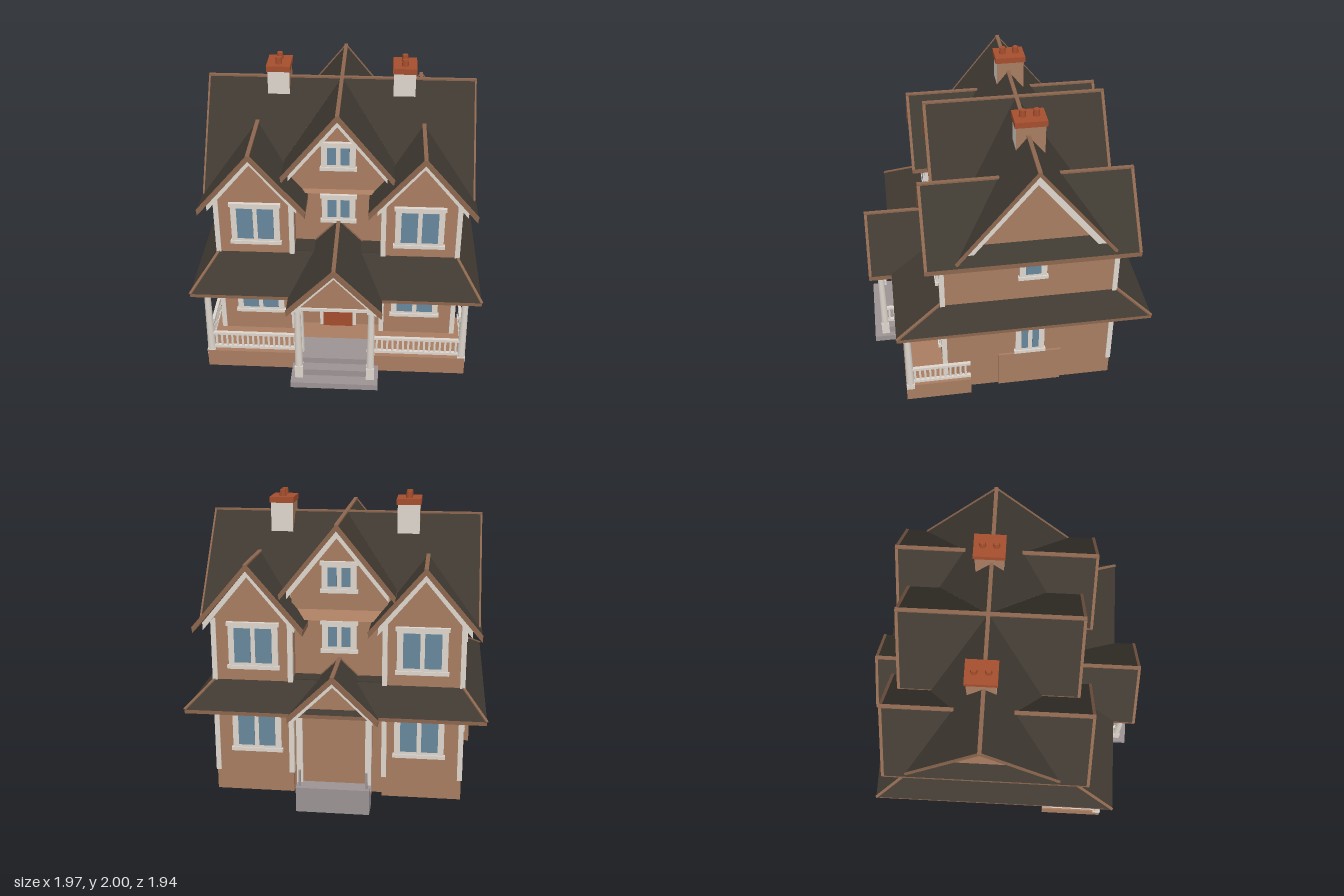
import * as THREE from 'three';

const mat = (name, color) => {
  const m = new THREE.MeshStandardMaterial({ color });
  m.name = name;
  return m;
};
const V = (x, y, z) => new THREE.Vector3(x, y, z);

export function createModel() {
  const wall = mat('wall brown', 0xa97d61);
  const roof = mat('roof charcoal', 0x3f3931);
  const fascia = mat('fascia brown', 0x8c664e);
  const trim = mat('trim white', 0xded6cd);
  const glass = mat('window blue', 0x66879c);
  const rust = mat('brick red', 0xa54e2d);
  const stone = mat('step grey', 0x9c9394);

  const house = new THREE.Group();
  house.name = 'house';

  const add = (name, geo, m, parent = house) => {
    const mesh = new THREE.Mesh(geo, m);
    mesh.name = name;
    parent.add(mesh);
    return mesh;
  };
  // Box given by its limits on each axis
  const box = (name, m, x0, x1, y0, y1, z0, z1, parent) => {
    const mesh = add(name, new THREE.BoxGeometry(Math.abs(x1 - x0), y1 - y0, Math.abs(z1 - z0)), m, parent);
    mesh.position.set((x0 + x1) / 2, (y0 + y1) / 2, (z0 + z1) / 2);
  };
  // Outline in x,y extruded from z0 to z1
  const prism = (name, m, pts, z0, z1, parent) => {
    const shape = new THREE.Shape(pts.map(p => new THREE.Vector2(...p)));
    const geo = new THREE.ExtrudeGeometry(shape, { depth: z1 - z0, bevelEnabled: false });
    add(name, geo.translate(0, 0, z0), m, parent);
  };
  // Bar between two points
  const beam = (name, m, a, b, w, h) => {
    const mesh = add(name, new THREE.BoxGeometry(w, h, a.distanceTo(b)), m);
    mesh.position.copy(a).add(b).multiplyScalar(0.5);
    mesh.lookAt(b);
  };
  // Sloped roof panel, fanned from its first corner: dark on top, brown edges and underside
  const panel = (name, pts, t = 0.035) => {
    const n = V(0, 0, 0).crossVectors(pts[1].clone().sub(pts[0]), pts[2].clone().sub(pts[0]));
    const p = n.y < 0 ? [pts[0], ...pts.slice(1).reverse()] : pts;
    const low = p.map(q => V(q.x, q.y - t, q.z));
    const out = [];
    for (let i = 1; i < p.length - 1; i++) out.push(p[0], p[i], p[i + 1]);
    const topCount = out.length;
    for (let i = 1; i < p.length - 1; i++) out.push(low[0], low[i + 1], low[i]);
    p.forEach((a, i) => {
      const j = (i + 1) % p.length;
      out.push(low[i], low[j], p[j], low[i], p[j], a);
    });
    const geo = new THREE.BufferGeometry().setFromPoints(out);
    geo.addGroup(0, topCount, 0);
    geo.addGroup(topCount, out.length - topCount, 1);
    geo.computeVertexNormals();
    add(name, geo, [roof, fascia]);
  };
  // Gable roof with its ridge along z, edged in brown
  const gable = (name, cx, ridge, eave, half, z0, z1) => {
    for (const s of [-1, 1]) {
      panel(name, [V(cx, ridge, z0), V(cx, ridge, z1), V(cx + s * half, eave, z1), V(cx + s * half, eave, z0)]);
      for (const z of [z0 + 0.01, z1 - 0.01])
        beam(name + 'Edge', fascia, V(cx, ridge, z), V(cx + s * half, eave, z), 0.02, 0.012);
    }
    beam(name + 'Ridge', fascia, V(cx, ridge, z0), V(cx, ridge, z1), 0.026, 0.012);
  };
  // White boards following a gable, below the roof edge
  const rake = (name, cx, ridge, eave, half, w, z0, z1, parent) => prism(name, trim, [
    [cx - half, eave - w], [cx, ridge - w], [cx + half, eave - w],
    [cx + half, eave], [cx, ridge], [cx - half, eave]], z0, z1, parent);

  // Wings, front to back, with their roofs and corner boards
  for (const s of [-1, 1]) {
    const c = s * 0.565;
    prism('wingWalls', wall, [[c - 0.265, 0], [c + 0.265, 0], [c + 0.265, 1.25], [c, 1.56], [c - 0.265, 1.25]], -0.68, 0.5);
    gable('wingRoof', c + s * 0.005, 1.6, 1.18, 0.36, -0.8, 0.6);
    rake('wingRake', c + s * 0.005, 1.565, 1.207, 0.3, 0.05, 0.49, 0.56);
    rake('wingRake', c + s * 0.005, 1.565, 1.207, 0.3, 0.05, -0.76, -0.67);
    for (const x of [0.312, 0.82]) for (const z of [0.49, -0.67])
      box('cornerBoard', trim, s * x - 0.017, s * x + 0.017, 0.14, 1.22, z - 0.017, z + 0.017);
  }

  // Middle: ground floor forward, upper floors set back
  box('middleGroundFloor', wall, -0.32, 0.32, 0, 0.8, -0.63, 0.43);
  prism('middleWalls', wall, [[-0.32, 0.7], [0.32, 0.7], [0.32, 1.41], [0, 1.8], [-0.32, 1.41]], -0.55, 0.34);
  gable('middleRoof', 0, 1.85, 1.39, 0.375, -0.72, 0.51);
  rake('middleRake', 0, 1.815, 1.41, 0.33, 0.05, 0.43, 0.48);
  rake('middleRake', 0, 1.815, 1.41, 0.33, 0.05, -0.69, -0.64);

  // Main roof, ridge along x, cut away below the middle gables
  for (const s of [-1, 1]) for (const d of [-1, 1]) {
    const at = (x, y) => V(s * x, y, -0.12 + d * (1.85 - y) * 0.8);
    panel('mainRoof', [at(0.335, 1.44), at(0, 1.85), at(0.92, 1.85), at(0.92, 1.2), at(0.335, 1.2)], 0.025);
    beam('mainRoofEdge', fascia, at(0.914, 1.85), at(0.914, 1.2), 0.012, 0.01);
  }
  beam('mainRidge', fascia, V(-0.92, 1.85, -0.12), V(0.92, 1.85, -0.12), 0.026, 0.012);
  const side = new THREE.Group();
  side.name = 'sideGables';
  side.rotation.y = Math.PI / 2;
  house.add(side);
  prism('sideGableWall', wall, [[-0.36, 1.2], [0.6, 1.2], [0.12, 1.8]], -0.84, 0.84, side);
  rake('sideRake', 0.12, 1.825, 1.25, 0.46, 0.085, 0.83, 0.88, side);
  rake('sideRake', 0.12, 1.825, 1.25, 0.46, 0.085, -0.88, -0.83, side);

  // Skirt roof around the ground floor
  const ring = (x, y, z0, z1) => [V(-x, y, z1), V(x, y, z1), V(x, y, z0), V(-x, y, z0)];
  const outer = ring(0.975, 0.655, -0.9, 0.81), inner = ring(0.81, 0.81, -0.66, 0.48);
  for (let i = 0; i < 4; i++) {
    const j = (i + 1) % 4;
    panel('skirtRoof', [outer[i], outer[j], inner[j], inner[i]], 0.025);
    beam('skirtHip', fascia, outer[i], inner[i], 0.018, 0.012);
  }
  box('skirtTop', roof, -0.32, 0.32, 0.785, 0.812, 0.32, 0.485);
  box('skirtTop', roof, -0.32, 0.32, 0.785, 0.812, -0.665, -0.53);

  // Front porch gable
  gable('porchRoof', 0, 0.98, 0.65, 0.315, 0.33, 0.97);
  prism('porchGableWall', wall, [[-0.26, 0.65], [0.26, 0.65], [0, 0.93]], 0.6, 0.91);
  rake('porchRake', 0, 0.945, 0.65, 0.28, 0.035, 0.9, 0.945);
  box('porchBeam', trim, -0.27, 0.27, 0.63, 0.652, 0.87, 0.92);

  // Back porch
  gable('backPorchRoof', 0, 0.93, 0.65, 0.29, -0.97, -0.54);
  prism('backPorchWall', wall, [[-0.23, 0], [0.23, 0], [0.23, 0.65], [0, 0.88], [-0.23, 0.65]], -0.86, -0.62);
  rake('backPorchRake', 0, 0.895, 0.65, 0.255, 0.035, -0.94, -0.85);
  box('backStep', stone, -0.24, 0.24, 0, 0.17, -0.965, -0.82);
  for (const s of [-1, 1]) {
    box('backPost', trim, s * 0.245, s * 0.205, 0.12, 0.65, -0.88, -0.845);
    box('backRailPost', stone, s * 0.225, s * 0.21, 0.17, 0.28, -0.94, -0.925);
  }

  // Porch floor and steps
  box('porchFloor', wall, -0.9, 0.9, 0, 0.135, 0.32, 0.77);
  for (const [w, y, z] of [[0.24, 0.14, 0.82], [0.26, 0.095, 0.89], [0.3, 0.045, 0.97]])
    box('frontStep', stone, -w, w, 0, y, 0.6, z);

  // Posts and railings
  const post = (x, z, y0) => {
    add('porchPost', new THREE.CylinderGeometry(0.021, 0.029, 0.64 - y0, 10), trim).position.set(x, (0.64 + y0) / 2, z);
    box('postBase', trim, x - 0.028, x + 0.028, y0, 0.14, z - 0.028, z + 0.028);
    box('postCap', trim, x - 0.028, x + 0.028, 0.615, 0.645, z - 0.028, z + 0.028);
  };
  const railing = (x0, z0, x1, z1) => {
    for (const y of [0.16, 0.275]) beam('rail', trim, V(x0, y, z0), V(x1, y, z1), 0.022, 0.02);
    const n = Math.max(2, Math.round(Math.hypot(x1 - x0, z1 - z0) / 0.036));
    for (let i = 1; i < n; i++) {
      const x = x0 + (x1 - x0) * i / n, z = z0 + (z1 - z0) * i / n;
      box('baluster', trim, x - 0.007, x + 0.007, 0.16, 0.275, z - 0.007, z + 0.007);
    }
  };
  for (const s of [-1, 1]) {
    post(s * 0.875, 0.74, 0.1);
    post(s * 0.245, 0.74, 0.1);
    post(s * 0.245, 0.89, 0.02);
    railing(s * 0.25, 0.745, s * 0.87, 0.745);
    railing(s * 0.88, 0.74, s * 0.88, 0.32);
    railing(s * 0.245, 0.74, s * 0.245, 0.89);
    // Low ledge against the side wall
    box('sideLedge', wall, s * 0.8, s * 0.845, 0, 0.285, -0.32, 0.12);
  }

  // Windows: white frame, sill, head and blue panes
  const win = (x, y, z, w, h, panes, turn) => {
    const g = new THREE.Group();
    g.name = 'window';
    g.position.set(x, y, z);
    g.rotation.y = turn;
    house.add(g);
    box('windowFrame', trim, -w / 2, w / 2, -h / 2, h / 2, -0.01, 0.018, g);
    box('windowHead', trim, -w / 2 - 0.01, w / 2 + 0.01, h / 2 - 0.025, h / 2, -0.01, 0.026, g);
    box('windowSill', trim, -w / 2 - 0.01, w / 2 + 0.01, -h / 2, -h / 2 + 0.025, -0.01, 0.026, g);
    const pw = (w - 0.08 - (panes - 1) * 0.03) / panes;
    for (let i = 0; i < panes; i++) {
      const px = -w / 2 + 0.04 + i * (pw + 0.03);
      box('windowPane', glass, px, px + pw, -h / 2 + 0.045, h / 2 - 0.04, 0.016, 0.022, g);
    }
  };
  for (const [turn, zWing, zMid] of [[0, 0.5, 0.34], [Math.PI, -0.68, -0.55]]) {
    for (const s of [-1, 1]) {
      win(s * 0.555, 1.04, zWing, 0.33, 0.32, 2, turn);
      win(s * 0.545, 0.46, zWing, 0.33, 0.33, 2, turn);
    }
    win(0, 1.485, zMid, 0.23, 0.21, 2, turn);
    win(0, 1.08, zMid, 0.23, 0.22, 2, turn);
  }
  for (const s of [-1, 1]) {
    win(s * 0.83, 1.08, -0.11, 0.18, 0.23, 1, s * Math.PI / 2);
    win(s * 0.83, 0.45, -0.1, 0.2, 0.31, 2, s * Math.PI / 2);
  }

  // Front door with two glazed panels
  box('doorFrame', trim, -0.13, 0.13, 0.13, 0.61, 0.42, 0.445);
  box('door', rust, -0.105, 0.105, 0.135, 0.585, 0.44, 0.455);
  for (const s of [-1, 1]) {
    box('doorPanel', wall, s * 0.025, s * 0.1, 0.33, 0.575, 0.454, 0.459);
    box('doorGlass', glass, s * 0.04, s * 0.085, 0.38, 0.5, 0.457, 0.463);
  }

  // Chimneys with brown sides, caps and pots
  for (const s of [-1, 1]) {
    const x = s * 0.43;
    box('chimney', [wall, wall, trim, trim, trim, trim], x - 0.075, x + 0.075, 1.72, 1.93, -0.23, -0.04);
    box('chimneyCap', rust, x - 0.082, x + 0.082, 1.915, 1.955, -0.24, -0.03);
    for (const z of [-0.18, -0.09])
      add('chimneyPot', new THREE.CylinderGeometry(0.02, 0.024, 0.05, 8), rust).position.set(x, 1.975, z);
  }
  return house;
}
